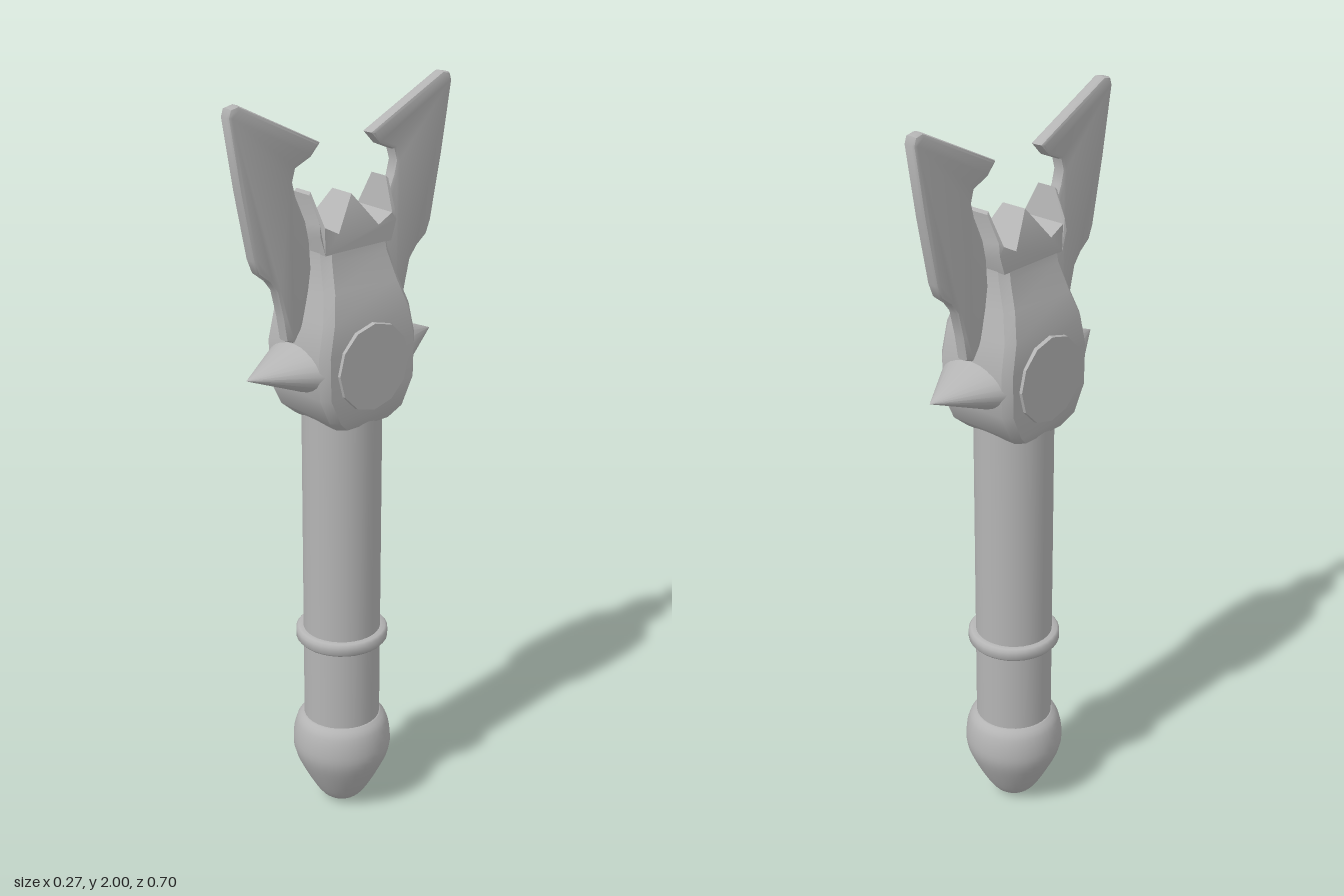
import * as THREE from 'three';
import { toCreasedNormals } from 'three/addons/utils/BufferGeometryUtils.js';

const stone = new THREE.MeshStandardMaterial({ color: 0xb4b4b4 });
stone.name = 'grey stone';

const v2 = (list) => list.map(([a, b]) => new THREE.Vector2(a, b));

export function createModel() {
  const group = new THREE.Group();
  const add = (name, geometry) => {
    const mesh = new THREE.Mesh(geometry, stone);
    mesh.name = name;
    group.add(mesh);
    return mesh;
  };

  // Pommel: rounded teardrop at the foot
  const profile = new THREE.SplineCurve(v2([
    [0.001, 0], [0.035, 0.005], [0.065, 0.03], [0.105, 0.1],
    [0.132, 0.165], [0.134, 0.215], [0.123, 0.26], [0.103, 0.282],
  ])).getPoints(24);
  add('pommel', new THREE.LatheGeometry([...profile, new THREE.Vector2(0, 0.282)], 32));

  // Handle and its ring
  add('handle', new THREE.CylinderGeometry(0.104, 0.104, 0.95, 32).translate(0, 0.725, 0));
  add('handleRing', toCreasedNormals(new THREE.LatheGeometry(v2([
    [0.1, 0.516], [0.118, 0.516], [0.124, 0.523], [0.124, 0.545], [0.118, 0.552], [0.1, 0.552],
  ]), 32), 0.9));

  // Head: chamfered rectangular sections, each [y, half width, half depth]
  const sections = [
    [1.17, 0.1, 0.088], [1.2, 0.115, 0.122], [1.27, 0.118, 0.155], [1.38, 0.118, 0.157],
    [1.46, 0.114, 0.14], [1.53, 0.092, 0.12], [1.6, 0.067, 0.108], [1.635, 0.062, 0.106],
  ];
  const head = new THREE.CylinderGeometry(1, 1, 1, 8, sections.length - 1, false, Math.PI / 8);
  const p = head.attributes.position;
  for (let i = 0; i < p.count; i++) {
    const x = p.getX(i), z = p.getZ(i);
    const [y, hx, hz] = sections[Math.round((p.getY(i) + 0.5) * (sections.length - 1))];
    const side = Math.abs(x) > Math.abs(z);
    const c = 0.02;
    if (Math.hypot(x, z) < 0.5) p.setXYZ(i, 0, y, 0);
    else p.setXYZ(i, Math.sign(x) * (side ? hx : hx - c), y, Math.sign(z) * (side ? hz - c : hz));
  }
  add('head', toCreasedNormals(head, 0.55));

  // Extrudes a side outline (z, y) across x, centred
  const across = (outline, width, bevel = 0) => {
    const geometry = new THREE.ExtrudeGeometry(new THREE.Shape(v2(outline)), {
      depth: width - 2 * bevel, bevelEnabled: bevel > 0, bevelThickness: bevel,
      bevelSize: bevel, bevelOffset: -bevel, bevelSegments: 2,
    });
    return geometry.translate(0, 0, bevel - width / 2).rotateY(-Math.PI / 2);
  };

  // Crown: three points, narrowing towards their tips
  const half = [[0.106, 1.62], [0.122, 1.67], [0.12, 1.7], [0.126, 1.765], [0.12, 1.772],
    [0.108, 1.69], [0.064, 1.667]];
  const crown = across([
    ...half, [0, 1.75], ...half.map(([z, y]) => [-z, y]).reverse(),
  ], 2);
  const q = crown.attributes.position;
  for (let i = 0; i < q.count; i++) {
    const t = THREE.MathUtils.clamp((q.getY(i) - 1.69) / 0.08, 0, 1);
    q.setX(i, q.getX(i) * (0.064 - 0.038 * t));
  }
  add('crown', toCreasedNormals(crown, 0.4));

  // Front and back blades and spikes
  const blade = toCreasedNormals(across([
    [0.165, 1.4], [0.19, 1.41], [0.2, 1.47], [0.217, 1.54], [0.24, 1.57], [0.272, 1.595],
    [0.286, 1.63], [0.32, 1.8], [0.349, 1.975], [0.342, 1.995], [0.318, 2], [0.078, 1.882],
    [0.108, 1.85], [0.155, 1.83], [0.164, 1.8], [0.155, 1.765], [0.126, 1.7],
    [0.115, 1.65], [0.11, 1.58], [0.13, 1.45],
  ], 0.036, 0.01), 0.7);
  const spike = new THREE.ConeGeometry(1, 0.165, 24).rotateX(Math.PI / 2)
    .scale(0.112, 0.066, 1).translate(0, 1.332, 0.2225);
  for (const [end, turn] of [['front', 0], ['back', Math.PI]]) {
    add(end + 'Blade', blade).rotation.y = turn;
    add(end + 'Spike', spike).rotation.y = turn;
  }

  // Twelve-sided discs on both sides of the head
  for (const s of [1, -1]) {
    const disc = new THREE.CylinderGeometry(0.113, 0.117, 0.03, 12).rotateZ(-s * Math.PI / 2);
    add(s > 0 ? 'leftDisc' : 'rightDisc', toCreasedNormals(disc.translate(s * 0.111, 1.33, 0), 0.4));
  }
  return group;
}
